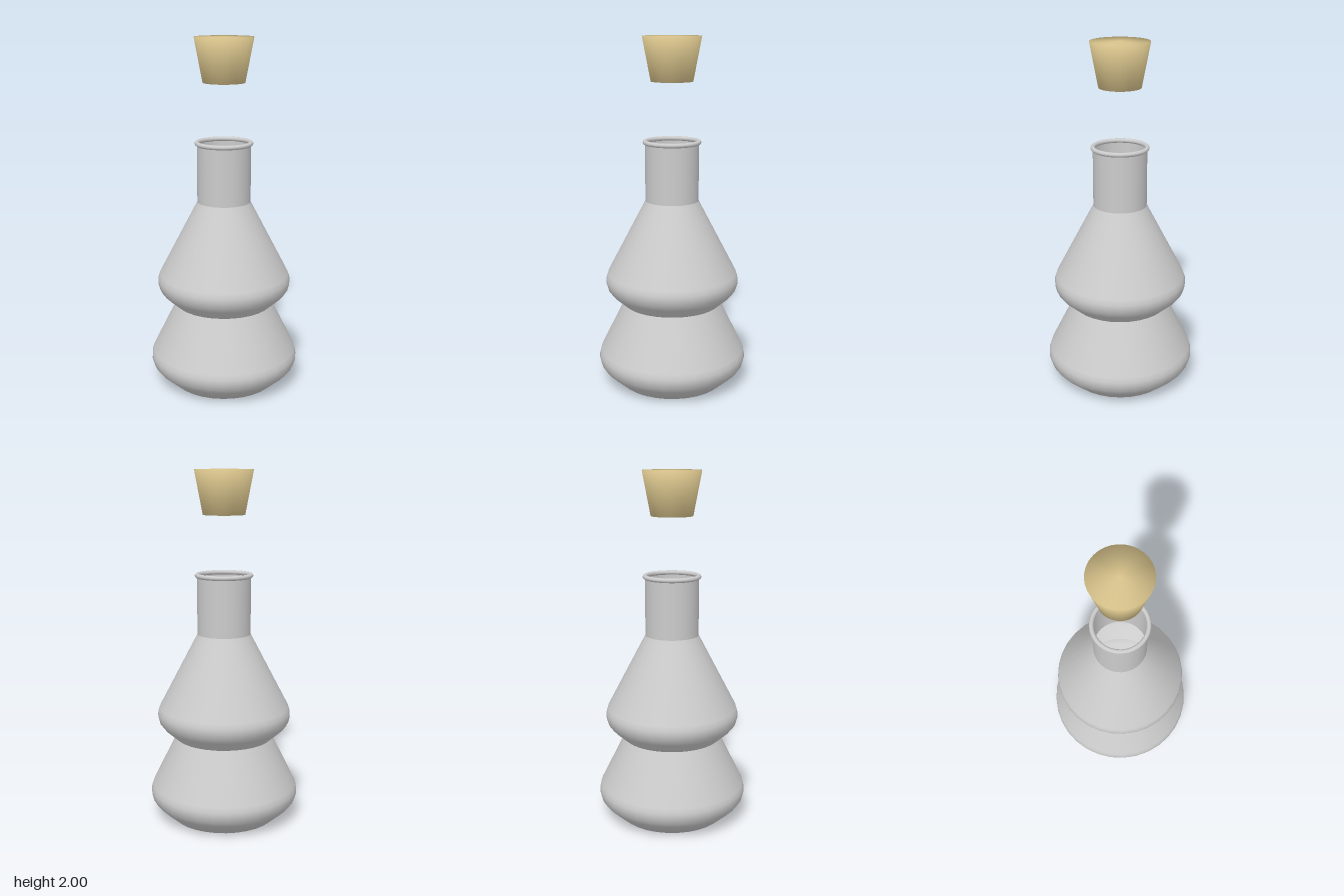
import * as THREE from 'three';

const SIDES = 32;

// Surface of revolution from [radius, height] pairs listed bottom to top
function turned(name, profile, material) {
  const points = profile.map(([r, y]) => new THREE.Vector2(r, y));
  const mesh = new THREE.Mesh(new THREE.LatheGeometry(points, SIDES), material);
  mesh.name = name;
  return mesh;
}

export function createModel() {
  const model = new THREE.Group();
  model.name = 'flaskWithStopper';
  const glass = new THREE.MeshStandardMaterial({ color: 0xcccccc, side: THREE.DoubleSide });
  const cork = new THREE.MeshStandardMaterial({ color: 0xd9c48c });

  // Lower bulb with closed flat base
  model.add(turned('lowerBulb', [
    [0, 0], [0.305, 0], [0.395, 0.08], [0.418, 0.11], [0.428, 0.145],
    [0.427, 0.17], [0.418, 0.2], [0.28, 0.478],
  ], glass));

  // Upper bulb, tapering into the neck
  model.add(turned('upperBulb', [
    [0.28, 0.478], [0.352, 0.542], [0.374, 0.572], [0.383, 0.605],
    [0.382, 0.63], [0.373, 0.66], [0.152, 1.083],
  ], glass));

  // Open straight neck
  model.add(turned('neck', [[0.152, 1.083], [0.152, 1.415]], glass));

  // Rounded lip around the mouth
  const lip = new THREE.Mesh(new THREE.TorusGeometry(0.152, 0.013, 10, SIDES), glass);
  lip.name = 'lip';
  lip.rotation.x = Math.PI / 2;
  lip.position.y = 1.417;
  model.add(lip);

  // Tapered stopper floating above the mouth
  model.add(turned('stopper', [[0, 1.753], [0.118, 1.753], [0.165, 2], [0, 2]], cork));

  return model;
}
